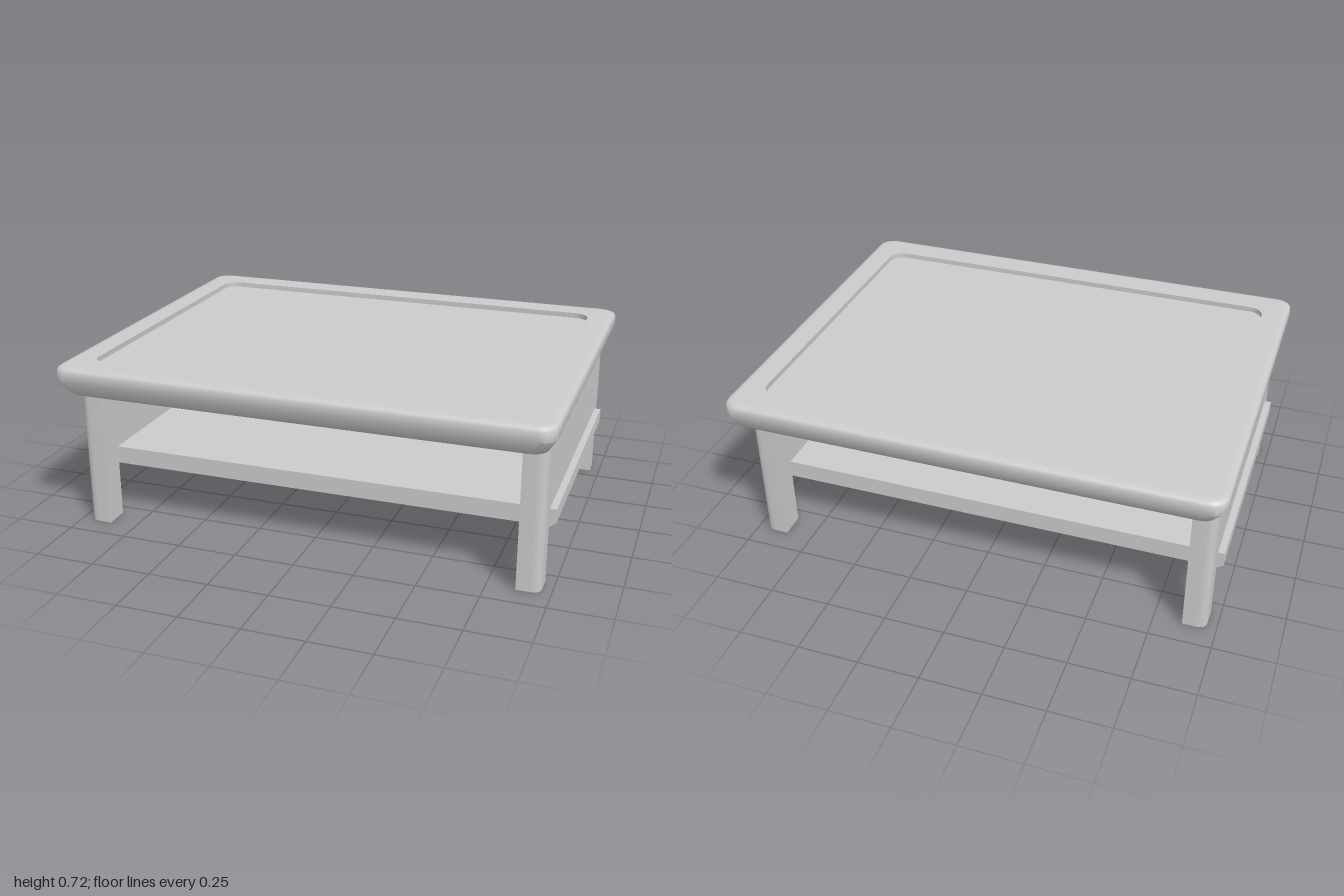
import * as THREE from 'three';
import { toCreasedNormals } from 'three/addons/utils/BufferGeometryUtils.js';

const material = new THREE.MeshStandardMaterial({ color: 0xcccccc });

function add(parent, name, geometry) {
  const mesh = new THREE.Mesh(geometry, material);
  mesh.name = name;
  parent.add(mesh);
  return mesh;
}

// Outline of a rounded rectangle in the xz plane, at height y
function roundedRing(halfX, halfZ, radius, y, steps = 4) {
  const ring = [];
  const corners = [[1, 1], [-1, 1], [-1, -1], [1, -1]];
  corners.forEach(([sx, sz], c) => {
    for (let i = 0; i <= steps; i++) {
      const a = (c + i / steps) * Math.PI / 2;
      ring.push([
        sx * (halfX - radius) + radius * Math.cos(a), y,
        sz * (halfZ - radius) + radius * Math.sin(a),
      ]);
    }
  });
  return ring;
}

// Skin a stack of equal rings, closing both ends with a fan
function loft(rings) {
  const n = rings[0].length;
  const last = (rings.length - 1) * n;
  const points = rings.flat();
  const bottom = points.length, top = bottom + 1;
  points.push([0, rings[0][0][1], 0], [0, rings.at(-1)[0][1], 0]);
  const index = [];
  for (let i = 0; i < n; i++) {
    const j = (i + 1) % n;
    for (let r = 0; r < last; r += n) {
      index.push(r + i, r + n + i, r + j, r + j, r + n + i, r + n + j);
    }
    index.push(bottom, i, j, top, last + j, last + i);
  }
  const geometry = new THREE.BufferGeometry();
  geometry.setAttribute('position', new THREE.Float32BufferAttribute(points.flat(), 3));
  geometry.setIndex(index);
  return toCreasedNormals(geometry, 0.75);
}

// Leg with only its outward corner rounded
function legGeometry(sx, sz) {
  const [x0, x1, z0, z1, r] = [0.865, 0.96, 0.553, 0.655, 0.04];
  const shape = new THREE.Shape();
  shape.moveTo(sx * x0, -sz * z0);
  shape.lineTo(sx * x1, -sz * z0);
  shape.lineTo(sx * x1, -sz * (z1 - r));
  shape.quadraticCurveTo(sx * x1, -sz * z1, sx * (x1 - r), -sz * z1);
  shape.lineTo(sx * x0, -sz * z1);
  shape.closePath();
  const geometry = new THREE.ExtrudeGeometry(shape, { depth: 0.615, bevelEnabled: false, curveSegments: 6 });
  geometry.rotateX(-Math.PI / 2);
  return toCreasedNormals(geometry, 0.6);
}

export function createModel() {
  const table = new THREE.Group();
  table.name = 'coffeeTable';

  // Table top: [inset, height] from the underside, round the edge, into the recess
  const profile = [
    [0.13, 0.575], [0.1, 0.575], [0.035, 0.598], [0, 0.66], [0, 0.7],
    [0.004, 0.71], [0.014, 0.716], [0.03, 0.717], [0.108, 0.717], [0.108, 0.695],
  ];
  add(table, 'tableTop', loft(profile.map(([inset, y]) =>
    roundedRing(1 - inset, 0.787 - inset * 1.2, 0.06, y))));

  // Each end: two legs joined by a flush panel
  for (const sx of [1, -1]) {
    const end = new THREE.Group();
    end.name = sx > 0 ? 'leftEnd' : 'rightEnd';
    for (const sz of [1, -1]) {
      add(end, sz > 0 ? 'frontLeg' : 'backLeg', legGeometry(sx, sz));
    }
    const panel = add(end, 'endPanel', new THREE.BoxGeometry(0.095, 0.345, 1.106));
    panel.position.set(sx * 0.9125, 0.4425, 0);
    table.add(end);
  }

  // Lower shelf passing through both ends, chamfered underneath
  const shelf = new THREE.Shape([
    [-0.967, 0.235], [0.967, 0.235], [0.987, 0.25],
    [0.987, 0.308], [-0.987, 0.308], [-0.987, 0.25],
  ].map(([x, y]) => new THREE.Vector2(x, y)));
  const shelfGeometry = new THREE.ExtrudeGeometry(shelf, { depth: 1.106, bevelEnabled: false });
  shelfGeometry.translate(0, 0, -0.553);
  add(table, 'shelf', shelfGeometry);

  return table;
}
